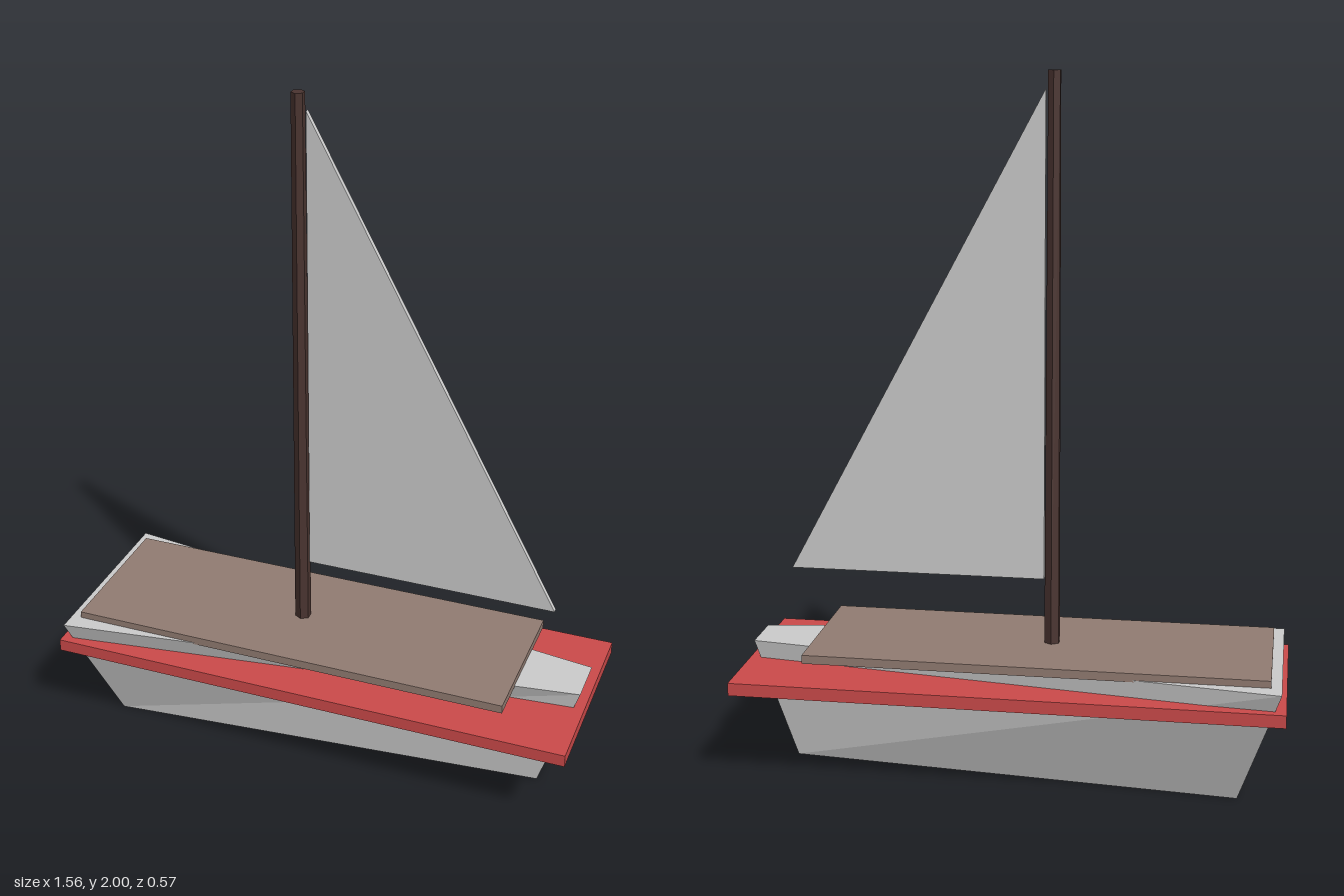
import * as THREE from 'three';

const material = (name, color) => {
  const m = new THREE.MeshStandardMaterial({ color });
  m.name = name;
  return m;
};

export function createModel() {
  const boat = new THREE.Group();
  boat.name = 'sailboat';

  const paleGrey = material('paleGrey', 0xcccccc);
  const red = material('red', 0xcc4a4a);
  const deckBrown = material('deckBrown', 0x927c72);
  const darkBrown = material('darkBrown', 0x4a3430);

  const add = (name, geometry, mat, x, y, z) => {
    const mesh = new THREE.Mesh(geometry, mat);
    mesh.name = name;
    mesh.position.set(x, y, z);
    boat.add(mesh);
    return mesh;
  };

  // Hull: a box narrowed toward the bow and the keel
  const box = new THREE.BoxGeometry(2, 0.36, 2);
  const p = box.attributes.position;
  for (let i = 0; i < p.count; i++) {
    const top = p.getY(i) > 0;
    const bow = p.getX(i) > 0;
    const halfLength = top ? 0.766 : 0.65;
    const halfWidth = bow ? (top ? 0.07 : 0.039) : (top ? 0.28 : 0.154);
    p.setX(i, p.getX(i) * halfLength);
    p.setZ(i, p.getZ(i) * halfWidth);
  }
  const hull = box.toNonIndexed();
  hull.computeVertexNormals();
  add('hull', hull, paleGrey, 0, 0.18, 0);

  // Rubbing band around the hull and deck planking
  add('rubbingBand', new THREE.BoxGeometry(1.56, 0.037, 0.572), red, 0, 0.289, 0);
  add('deck', new THREE.BoxGeometry(1.316, 0.025, 0.448), deckBrown, -0.078, 0.3675, 0);

  // Six-sided tapered mast
  const mast = new THREE.CylinderGeometry(0.019, 0.024, 1.63, 6).toNonIndexed();
  mast.computeVertexNormals();
  add('mast', mast, darkBrown, -0.104, 1.185, 0);

  // Triangular sail
  const sail = new THREE.Shape();
  sail.moveTo(-0.082, 0.572);
  sail.lineTo(0.66, 0.572);
  sail.lineTo(-0.082, 1.95);
  sail.closePath();
  add('sail', new THREE.ExtrudeGeometry(sail, { depth: 0.015, bevelEnabled: false }), paleGrey, 0, 0, -0.015);

  return boat;
}
